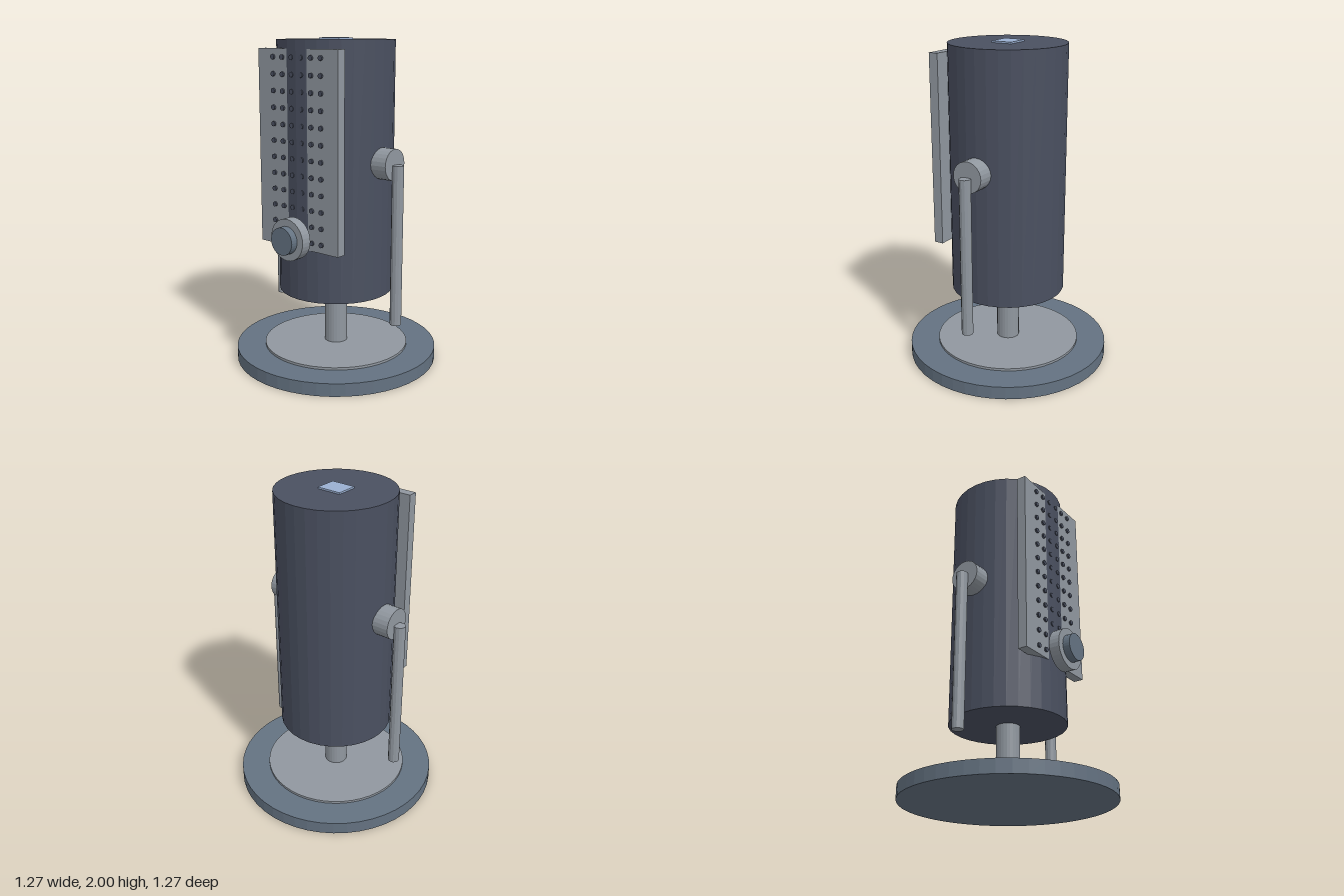
import * as THREE from 'three';

const mat = (name, color) => {
  const m = new THREE.MeshStandardMaterial({ color, flatShading: true });
  m.name = name;
  return m;
};

export function createModel() {
  const dark = mat('darkCasing', 0x4a5060);
  const slate = mat('slateMetal', 0x647281);
  const metal = mat('lightMetal', 0x90979f);
  const blue = mat('paleBlue', 0x9aafd0);

  const model = new THREE.Group();
  model.name = 'cylinderDevice';

  const add = (name, geometry, material, x, y, z) => {
    const mesh = new THREE.Mesh(geometry, material);
    mesh.name = name;
    mesh.position.set(x, y, z);
    model.add(mesh);
    return mesh;
  };
  // Upright cylinder from y0 to y1
  const post = (name, r, y0, y1, sides, material, x = 0) =>
    add(name, new THREE.CylinderGeometry(r, r, y1 - y0, sides), material, x, (y0 + y1) / 2, 0);
  // Cylinder lying along z from z0 to z1
  const knob = (name, r, z0, z1, sides, material, x, y) =>
    add(name, new THREE.CylinderGeometry(r, r, z1 - z0, sides).rotateX(Math.PI / 2), material, x, y, (z0 + z1) / 2);

  // Stand
  post('base', 0.633, 0, 0.08, 48, slate);
  post('baseDisc', 0.453, 0.08, 0.095, 48, metal);
  post('stem', 0.071, 0.09, 0.48, 24, metal);

  // Main casing and top plate
  post('casing', 0.355, 0.455, 1.99, 32, dark);
  add('topPlate', new THREE.BoxGeometry(0.154, 0.014, 0.132), blue, 0, 1.993, 0);

  // Front panel, with the casing bulging through its middle
  add('frontPanel', new THREE.BoxGeometry(0.61, 1.165, 0.059), metal, 0, 1.357, 0.3165);

  // Grid of studs across the panel
  for (let row = 0; row < 12; row++) {
    for (let col = 0; col < 6; col++) {
      knob('stud', 0.015, 0.34, 0.357, 10, dark, (col - 2.5) * 0.0733, 0.825 + row * 0.0969);
    }
  }

  // Dial
  knob('dialRing', 0.126, 0.38, 0.446, 32, metal, 0, 0.845);
  knob('dialCap', 0.083, 0.446, 0.491, 32, slate, 0, 0.845);

  // Side pivots and hanging arms
  for (const side of [-1, 1]) {
    const pivot = new THREE.CylinderGeometry(0.094, 0.094, 0.105, 24).rotateZ(Math.PI / 2);
    add('sidePivot', pivot, metal, side * 0.393, 1.28, 0);
    post('sideArm', 0.035, 0.31, 1.28, 12, metal, side * 0.468);
  }
  return model;
}
